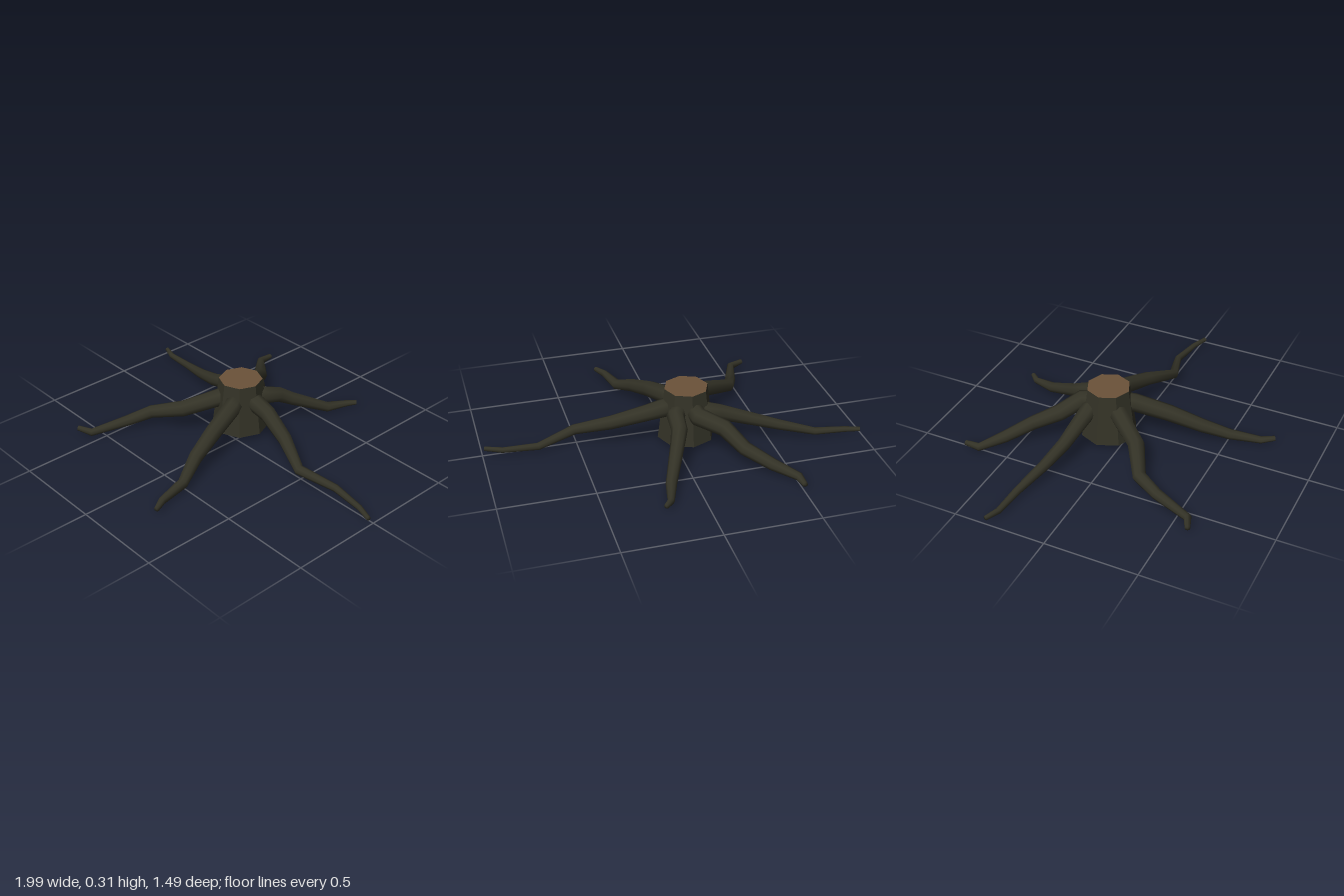
import * as THREE from 'three';

const SIDES = 8;
const CENTRE = new THREE.Vector3(-0.077, 0, -0.105);

// Tapered tube through a path of [x, y, z, radius], closed at both ends
function rootGeometry(path) {
  const pts = path.map(([x, y, z]) => new THREE.Vector3(x, y, z));
  const up = new THREE.Vector3(0, 1, 0);
  const positions = [], index = [];
  const last = pts.length - 1;

  function ring(i, radius) {
    // Mean of the directions on either side gives mitred bends
    const t = new THREE.Vector3();
    if (i > 0) t.add(pts[i].clone().sub(pts[i - 1]).normalize());
    if (i < last) t.add(pts[i + 1].clone().sub(pts[i]).normalize());
    t.normalize();
    const s = t.clone().cross(up).normalize();
    const u = s.clone().cross(t);
    for (let j = 0; j < SIDES; j++) {
      const a = (j / SIDES) * Math.PI * 2;
      const p = pts[i].clone()
        .addScaledVector(s, Math.cos(a) * radius)
        .addScaledVector(u, Math.sin(a) * radius);
      positions.push(p.x, p.y, p.z);
    }
  }

  ring(0, 0);
  path.forEach((p, i) => ring(i, p[3]));
  ring(last, 0);
  for (let i = 0; i < path.length + 1; i++) {
    for (let j = 0; j < SIDES; j++) {
      const k = (j + 1) % SIDES;
      const a = i * SIDES + j, b = i * SIDES + k;
      const c = a + SIDES, d = b + SIDES;
      index.push(a, c, b, b, c, d);
    }
  }
  const g = new THREE.BufferGeometry();
  g.setAttribute('position', new THREE.Float32BufferAttribute(positions, 3));
  g.setIndex(index);
  g.computeVertexNormals();
  return g;
}

// Root centre lines, from the stump outwards: [x, y, z, radius]
const ROOTS = {
  leftRoot: [
    [0.05, 0.205, -0.11, 0.05], [0.14, 0.187, -0.105, 0.045], [0.32, 0.132, -0.06, 0.038],
    [0.505, 0.073, 0.02, 0.028], [0.71, 0.038, -0.04, 0.02], [0.895, 0.031, -0.015, 0.015],
    [0.985, 0.034, 0.02, 0.012],
  ],
  backLeftRoot: [
    [0.01, 0.205, -0.21, 0.048], [0.015, 0.175, -0.3, 0.043], [0.045, 0.135, -0.37, 0.038],
    [0.135, 0.037, -0.57, 0.029], [0.172, 0.025, -0.695, 0.018], [0.208, 0.03, -0.738, 0.013],
  ],
  backRightRoot: [
    [-0.105, 0.205, -0.25, 0.05], [-0.22, 0.165, -0.33, 0.045], [-0.29, 0.105, -0.455, 0.038],
    [-0.405, 0.055, -0.565, 0.032], [-0.51, 0.026, -0.665, 0.022], [-0.51, 0.03, -0.745, 0.014],
  ],
  rightRoot: [
    [-0.17, 0.195, -0.18, 0.048], [-0.24, 0.178, -0.185, 0.044], [-0.41, 0.122, -0.205, 0.036],
    [-0.56, 0.08, -0.24, 0.029], [-0.745, 0.038, -0.29, 0.021], [-0.915, 0.03, -0.303, 0.016],
    [-0.992, 0.034, -0.33, 0.012],
  ],
  frontRightRoot: [
    [-0.14, 0.205, -0.02, 0.05], [-0.265, 0.14, 0.145, 0.045], [-0.43, 0.083, 0.24, 0.036],
    [-0.485, 0.052, 0.36, 0.03], [-0.555, 0.026, 0.56, 0.021], [-0.632, 0.031, 0.592, 0.014],
  ],
  frontLeftRoot: [
    [-0.012, 0.205, 0.02, 0.05], [0.042, 0.155, 0.2, 0.045], [0.09, 0.095, 0.365, 0.038],
    [0.155, 0.036, 0.505, 0.029], [0.19, 0.027, 0.67, 0.02], [0.23, 0.031, 0.735, 0.014],
  ],
};

export function createModel() {
  const bark = new THREE.MeshStandardMaterial({ color: 0x333226, side: THREE.DoubleSide });
  bark.name = 'dark bark';
  const wood = new THREE.MeshStandardMaterial({ color: 0x6b5239 });
  wood.name = 'cut wood';

  const model = new THREE.Group();
  model.name = 'treeStump';
  function add(name, geometry, material) {
    const mesh = new THREE.Mesh(geometry, material);
    mesh.name = name;
    model.add(mesh);
    return mesh;
  }

  // Faceted trunk, open underneath
  const trunkGeometry = new THREE.CylinderGeometry(0.118, 0.155, 0.285, SIDES, 1, true).toNonIndexed();
  trunkGeometry.computeVertexNormals();
  add('trunk', trunkGeometry, bark).position.set(CENTRE.x, 0.03 + 0.285 / 2, CENTRE.z);

  // Cut face on top
  const cut = add('cutFace', new THREE.CircleGeometry(0.118, SIDES), wood);
  cut.rotation.x = -Math.PI / 2;
  cut.position.set(CENTRE.x, 0.315, CENTRE.z);

  // Spreading roots, each starting inside the trunk
  for (const [name, path] of Object.entries(ROOTS)) {
    const [x, y, z, r] = path[0];
    const inner = [(x + CENTRE.x) / 2, y + 0.015, (z + CENTRE.z) / 2, r];
    add(name, rootGeometry([inner, ...path]), bark);
  }
  return model;
}
